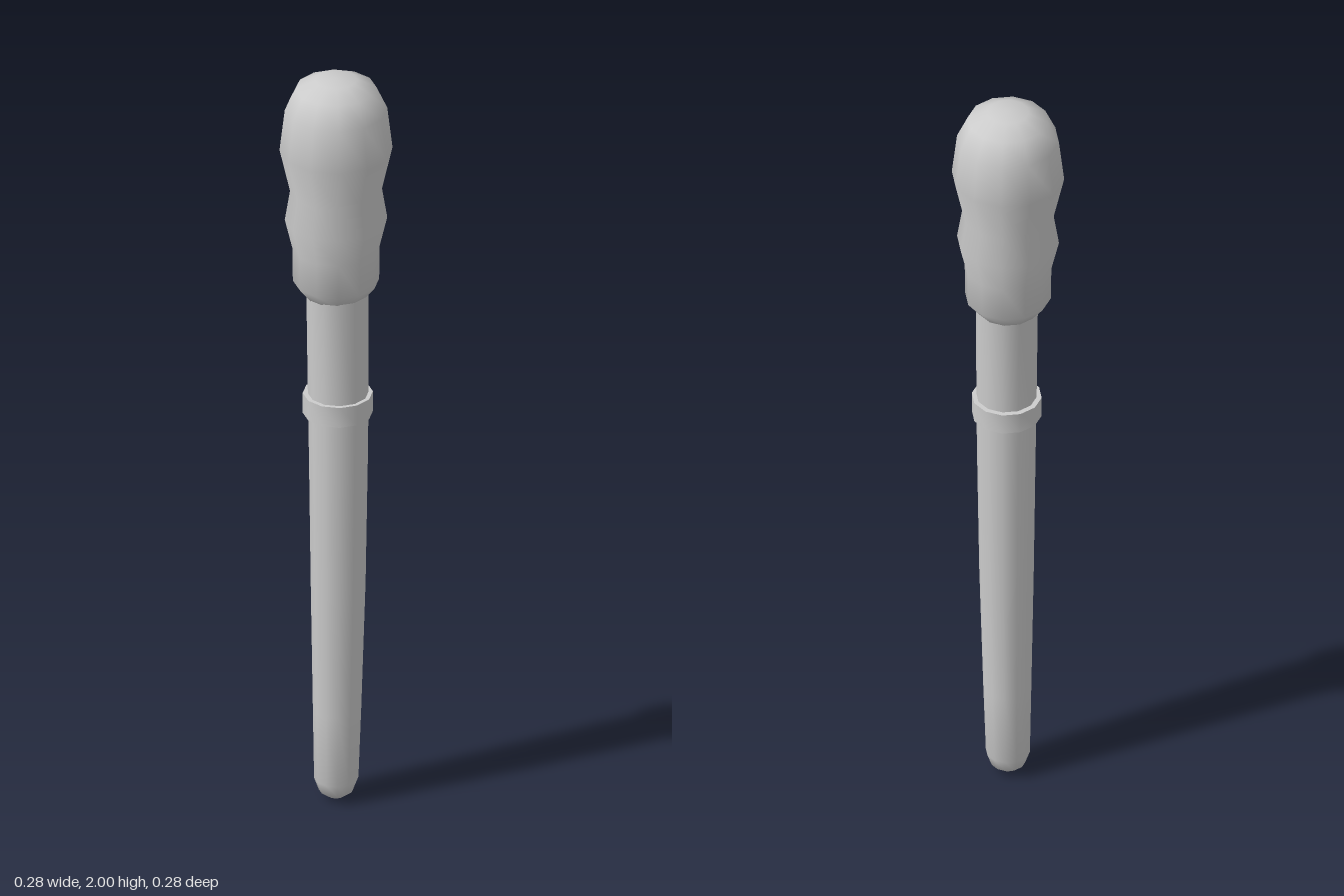
import * as THREE from 'three';
import { toCreasedNormals } from 'three/addons/utils/BufferGeometryUtils.js';

const material = new THREE.MeshStandardMaterial({ color: 0xcccccc });

// Turned part from [radius, height] pairs, listed bottom to top
function turned(name, profile, crease = 0.75) {
  const points = profile.map(([r, y]) => new THREE.Vector2(r, y));
  const geometry = toCreasedNormals(new THREE.LatheGeometry(points, 12), crease);
  const mesh = new THREE.Mesh(geometry, material);
  mesh.name = name;
  return mesh;
}

// Slight forward bow of the handle, strongest near mid height
const bow = (y) => 0.011 * Math.sin(Math.PI * THREE.MathUtils.clamp(y / 1.75, 0, 1));

function bend(mesh) {
  const pos = mesh.geometry.attributes.position;
  for (let i = 0; i < pos.count; i++) pos.setZ(i, pos.getZ(i) + bow(pos.getY(i)));
  return mesh;
}

export function createModel() {
  const group = new THREE.Group();
  group.name = 'brush';

  // Tapered handle with a rounded tip
  group.add(bend(turned('handle', [
    [0, 0], [0.022, 0.006], [0.043, 0.022], [0.055, 0.055], [0.06, 0.25],
    [0.068, 0.6], [0.073, 0.95], [0.075, 1.1], [0.077, 1.42],
  ])));

  // Collar around the handle
  const collar = turned('collar', [
    [0.07, 1.075], [0.087, 1.075], [0.087, 1.13], [0.07, 1.13],
  ], 0.6);
  collar.position.z = 0.008;
  group.add(collar);

  // Bulging, waisted head with a domed top
  group.add(turned('head', [
    [0, 1.4], [0.075, 1.4], [0.107, 1.44], [0.108, 1.53], [0.127, 1.61],
    [0.114, 1.69], [0.14, 1.805], [0.127, 1.915], [0.1, 1.973], [0.052, 1.997], [0, 2],
  ], 1.0));

  return group;
}
